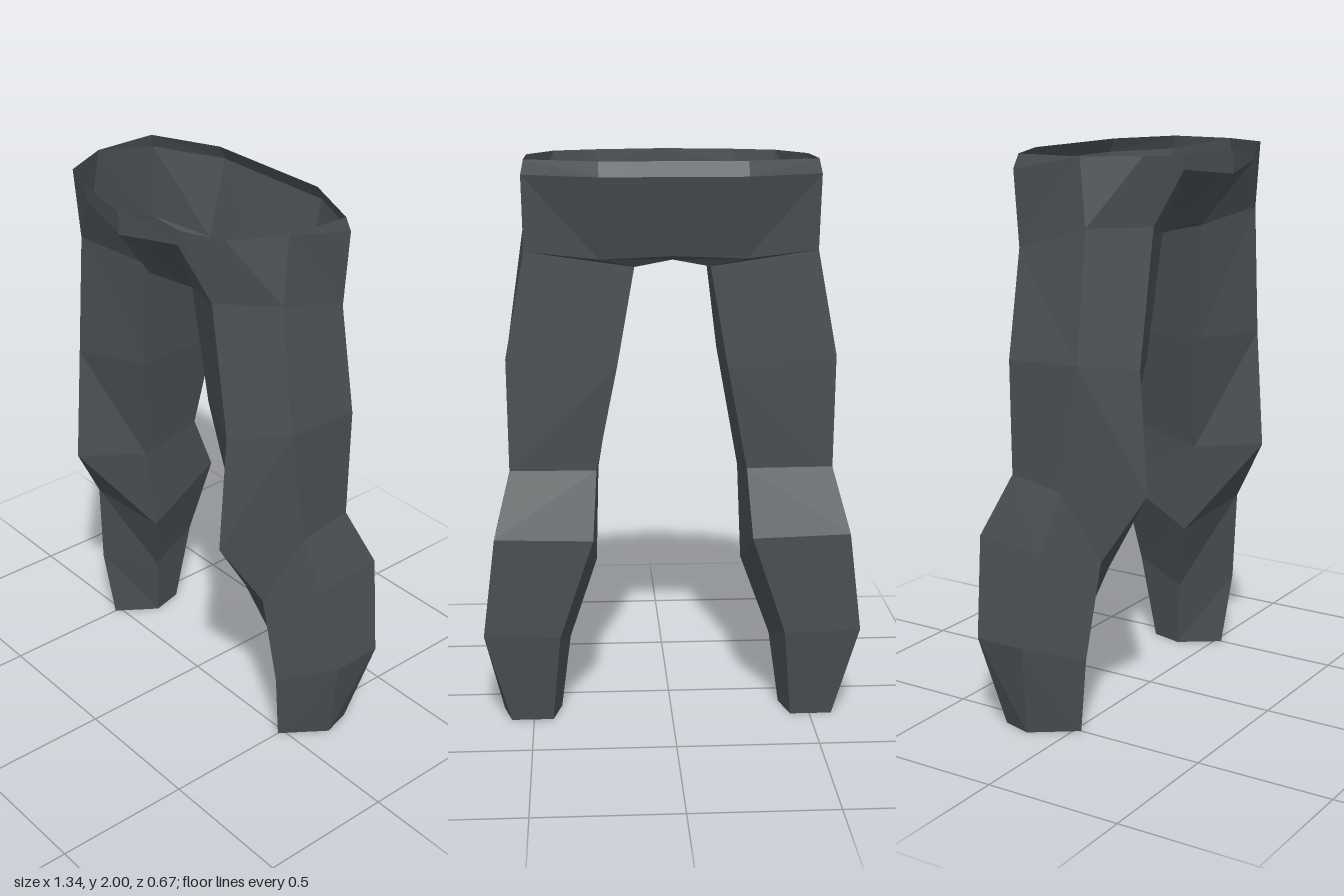
import * as THREE from 'three';

const cloth = new THREE.MeshStandardMaterial({ color: 0x4a4f52, flatShading: true, side: THREE.DoubleSide });
cloth.name = 'charcoal cloth';

// Faceted mesh from polygons on the left side; side = -1 mirrors them to the right
function facets(name, polygons, side) {
  const pos = [];
  for (const poly of polygons) {
    for (let i = 1; i < poly.length - 1; i++) {
      const tri = [poly[0], poly[i], poly[i + 1]];
      if (side < 0) tri.reverse();
      for (const [x, y, z] of tri) pos.push(x * side, y, z);
    }
  }
  const geo = new THREE.BufferGeometry();
  geo.setAttribute('position', new THREE.Float32BufferAttribute(pos, 3));
  geo.computeVertexNormals();
  const mesh = new THREE.Mesh(geo, cloth);
  mesh.name = name;
  return mesh;
}

// Leg cross-sections, top to ankle: front, outer, outer back, inner back, inner
const legRings = [
  [[0.35, 1.77, 0.23], [0.51, 1.77, 0.07], [0.505, 1.69, -0.2], [0.13, 1.64, -0.235], [0.13, 1.72, 0.13]],
  [[0.41, 1.3, 0.215], [0.575, 1.33, 0.075], [0.575, 1.32, -0.2], [0.19, 1.3, -0.235], [0.18, 1.3, 0.1]],
  [[0.41, 0.87, 0.243], [0.573, 0.89, 0.0], [0.57, 0.92, -0.2], [0.265, 0.92, -0.205], [0.255, 0.87, 0.04]],
  [[0.48, 0.63, 0.1], [0.625, 0.68, -0.045], [0.625, 0.7, -0.303], [0.28, 0.69, -0.303], [0.265, 0.53, -0.01]],
  [[0.52, 0.28, 0.062], [0.672, 0.34, -0.1], [0.67, 0.34, -0.29], [0.4, 0.33, -0.29], [0.365, 0.26, -0.09]],
  [[0.5, 0, 0.025], [0.61, 0, -0.13], [0.58, 0, -0.24], [0.43, 0, -0.24], [0.4, 0, -0.12]],
];

function legPolygons() {
  const out = [];
  for (let r = 0; r < legRings.length - 1; r++) {
    const a = legRings[r], b = legRings[r + 1];
    for (let i = 0; i < 5; i++) {
      const j = (i + 1) % 5;
      out.push([a[i], b[i], a[j]], [a[j], b[i], b[j]]);
    }
  }
  return out;
}

function hipPolygons() {
  const [front, outer, outerBack, innerBack, inner] = legRings[0];
  // Waist rim, from front centre round to back centre
  const rim = [[0, 2, 0.33], [0.25, 2, 0.28], [0.4, 2, 0.22], [0.495, 2, 0.04], [0.5, 2, -0.2], [0.25, 2, -0.31], [0, 2, -0.31]];
  // Front waistband edge and fly
  const bandMid = [0, 1.92, 0.33], bandSide = [0.24, 1.95, 0.28], fly = [0, 1.75, 0.205];
  // Back waistband and seat
  const hip = [0.51, 1.95, -0.215], back = [0.25, 1.95, -0.335], backMid = [0, 1.95, -0.335];
  const seat = [0.25, 1.67, -0.265], seatMid = [0, 1.68, -0.265], crotch = [0, 1.665, -0.24];
  return [
    [rim[0], bandMid, bandSide, rim[1]],
    [rim[1], bandSide, front, rim[2]],
    [bandMid, fly, inner, bandSide],
    [bandSide, inner, front],
    [rim[2], front, outer, rim[3]],
    [rim[3], outer, outerBack, hip, rim[4]],
    [rim[4], hip, back, rim[5]],
    [rim[5], back, backMid, rim[6]],
    [hip, outerBack, seat, back],
    [back, seat, seatMid, backMid],
    [outerBack, innerBack, seat],
    [seat, innerBack, crotch, seatMid],
    [fly, crotch, innerBack, inner],
  ];
}

export function createModel() {
  const model = new THREE.Group();
  model.name = 'trousers';
  for (const [label, side] of [['left', 1], ['right', -1]]) {
    model.add(facets(label + 'Hip', hipPolygons(), side));
    model.add(facets(label + 'Leg', legPolygons(), side));
  }
  return model;
}
